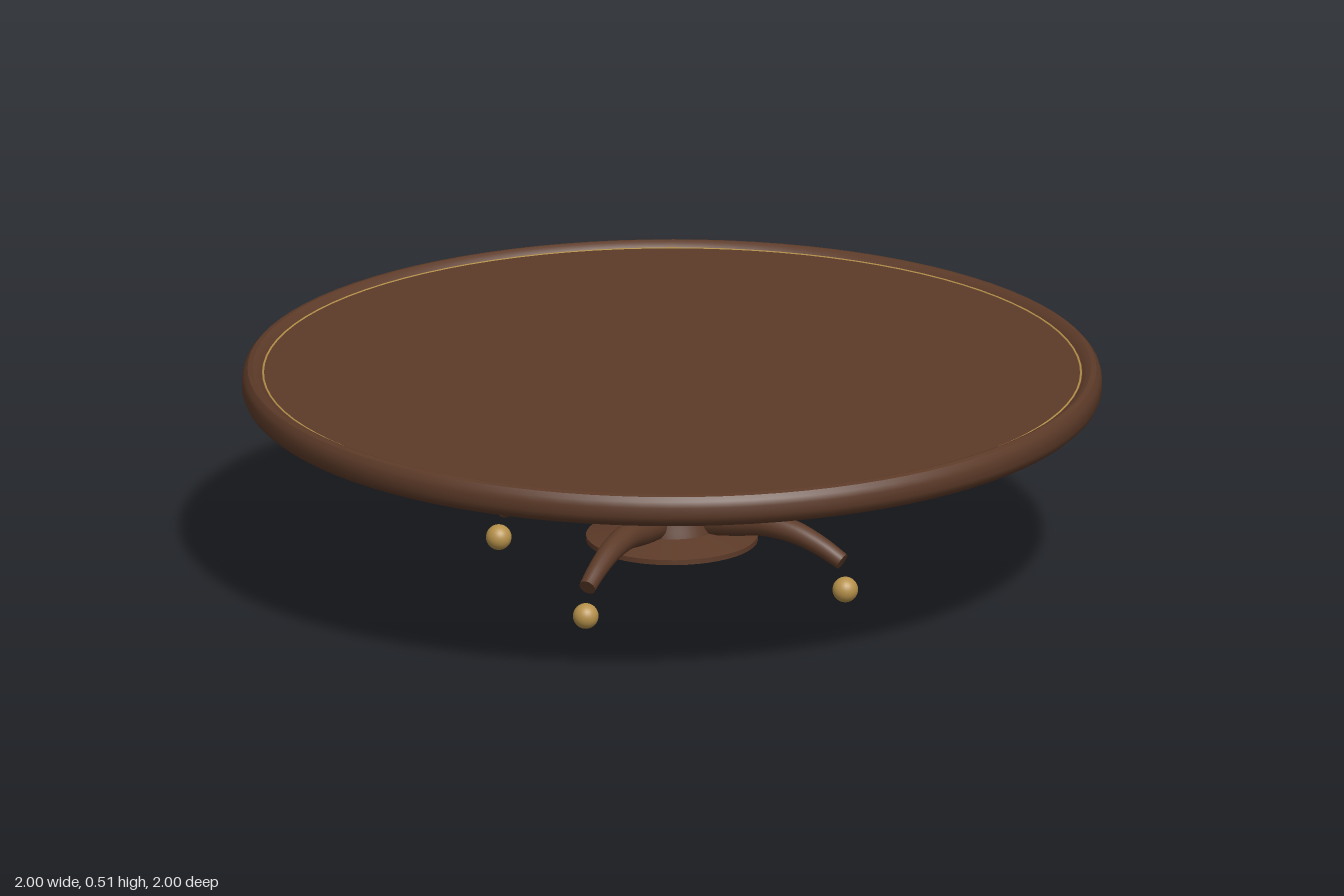
import * as THREE from 'three';
import { toCreasedNormals } from 'three/addons/utils/BufferGeometryUtils.js';

const wood = new THREE.MeshStandardMaterial({ color: 0x5c3a28 });
const brass = new THREE.MeshStandardMaterial({ color: 0xb5904a });

function add(parent, name, geometry, material) {
  const mesh = new THREE.Mesh(geometry, material);
  mesh.name = name;
  parent.add(mesh);
  return mesh;
}

// Turned part: [radius, height] pairs from bottom to top
function turned(profile, segments, crease = 0.5) {
  const points = profile.map(([r, y]) => new THREE.Vector2(r, y));
  return toCreasedNormals(new THREE.LatheGeometry(points, segments), crease);
}

// Round tube along a curve, tapering from r0 to r1
function taperedTube(curve, r0, r1, steps, sides) {
  const geometry = new THREE.TubeGeometry(curve, steps, 1, sides);
  const pos = geometry.attributes.position;
  const v = new THREE.Vector3();
  for (let i = 0; i <= steps; i++) {
    const centre = curve.getPointAt(i / steps);
    const radius = THREE.MathUtils.lerp(r0, r1, i / steps);
    for (let j = 0; j <= sides; j++) {
      const k = i * (sides + 1) + j;
      v.fromBufferAttribute(pos, k).sub(centre).multiplyScalar(radius).add(centre);
      pos.setXYZ(k, v.x, v.y, v.z);
    }
  }
  return geometry;
}

export function createModel() {
  const table = new THREE.Group();
  table.name = 'roundTable';

  // Top: rounded edge, raised rim and slightly recessed panel
  add(table, 'tableTop', turned([
    [0, 0.43], [0.965, 0.43], [0.98, 0.434], [0.993, 0.445], [1, 0.46],
    [1, 0.483], [0.996, 0.497], [0.987, 0.507], [0.975, 0.51],
    [0.966, 0.507], [0.957, 0.499], [0.955, 0.497], [0, 0.497],
  ], 96), wood);

  // Thin brass inlay just inside the rim
  const inlay = add(table, 'inlayRing', new THREE.TorusGeometry(0.951, 0.003, 6, 96), brass);
  inlay.rotation.x = Math.PI / 2;
  inlay.position.y = 0.496;

  // Pedestal: foot plate, drum, double-cone knop and flared collar
  add(table, 'footPlate', turned([
    [0, 0.09], [0.2, 0.09], [0.2, 0.102], [0.11, 0.125], [0, 0.125],
  ], 48, 0.2), wood);
  add(table, 'pedestal', turned([
    [0.115, 0.11], [0.108, 0.14], [0.1, 0.165], [0.095, 0.193],
    [0.14, 0.275], [0.082, 0.355], [0.112, 0.395], [0.145, 0.403],
    [0.18, 0.416], [0.21, 0.432],
  ], 48), wood);

  // Four curved legs on the diagonals, each above a ball foot
  const legCurve = new THREE.CatmullRomCurve3([
    [0.1, 0.152], [0.17, 0.157], [0.24, 0.163], [0.32, 0.152], [0.39, 0.126], [0.442, 0.098],
  ].map(([x, y]) => new THREE.Vector3(x, y, 0)));
  const legGeometry = taperedTube(legCurve, 0.037, 0.02, 24, 16);
  for (let i = 0; i < 4; i++) {
    const leg = new THREE.Group();
    leg.name = 'legAssembly';
    leg.rotation.y = Math.PI / 4 + i * Math.PI / 2;
    add(leg, 'leg', legGeometry, wood);
    for (const [u, radius, sign] of [[0, 0.037, -1], [1, 0.02, 1]]) {
      const cap = add(leg, 'legEnd', new THREE.CircleGeometry(radius, 16), wood);
      cap.position.copy(legCurve.getPointAt(u));
      const outward = legCurve.getTangentAt(u).multiplyScalar(sign);
      cap.quaternion.setFromUnitVectors(new THREE.Vector3(0, 0, 1), outward);
    }
    const foot = add(leg, 'ballFoot', new THREE.SphereGeometry(0.03, 24, 16), brass);
    foot.position.set(0.45, 0.031, 0);
    table.add(leg);
  }

  return table;
}
